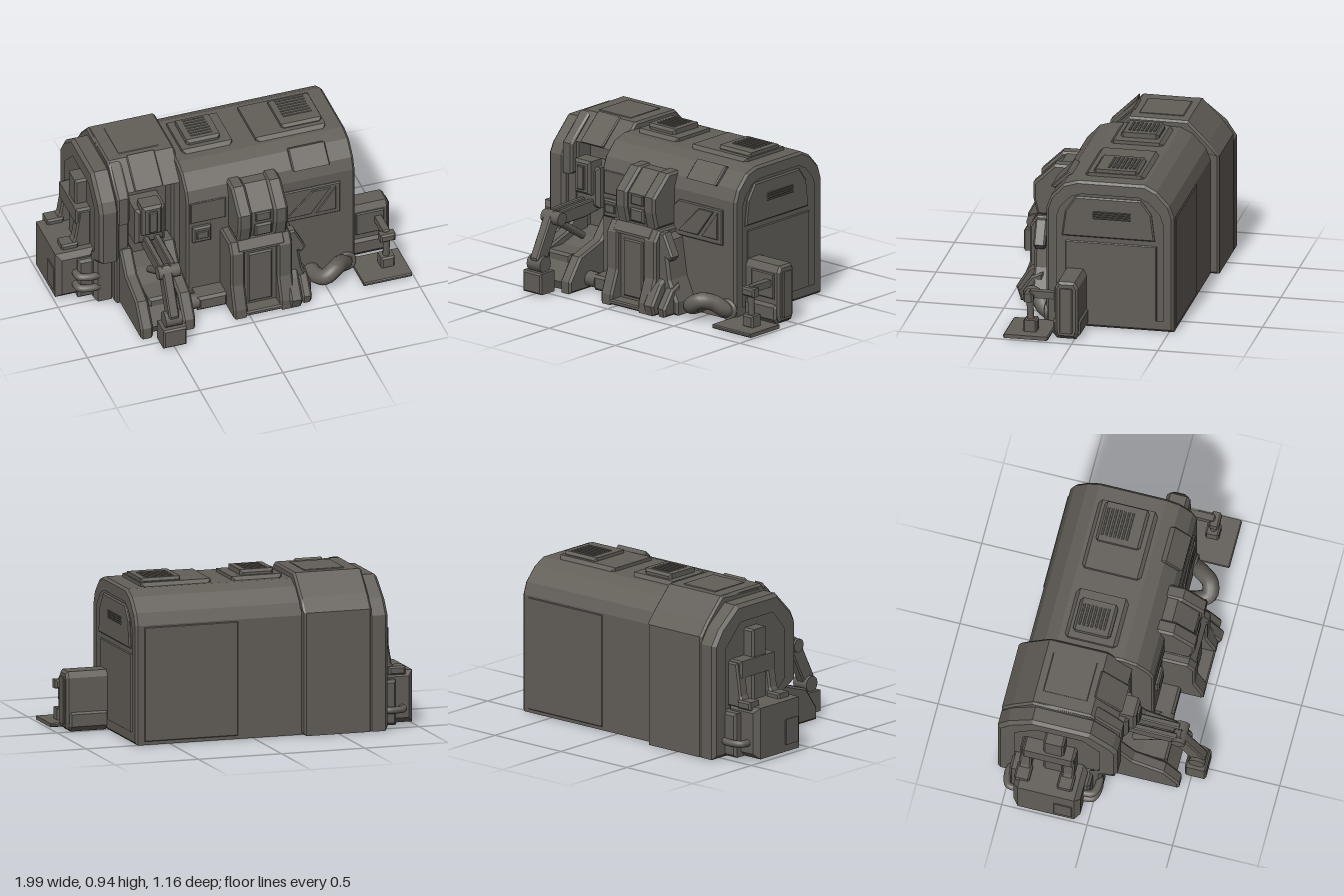
import * as THREE from 'three';

const hull = new THREE.MeshStandardMaterial({ color: 0x625e58 });
hull.name = 'dark warm grey';

export function createModel() {
  const root = new THREE.Group();
  root.name = 'outpostModule';

  const add = (name, geo) => {
    const m = new THREE.Mesh(geo, hull);
    m.name = name;
    root.add(m);
    return m;
  };
  const extrude = (pts, depth, b, hole) => {
    const s = new THREE.Shape(pts.map(p => new THREE.Vector2(...p)));
    if (hole) s.holes.push(new THREE.Path(hole.map(p => new THREE.Vector2(...p))));
    return new THREE.ExtrudeGeometry(s, {
      depth: depth - 2 * b, bevelEnabled: b > 0, bevelThickness: b, bevelSize: b, bevelOffset: -b, bevelSegments: 1,
    }).translate(0, 0, b);
  };
  // side profile of [z, y] points, swept from x0 to x1
  const sweepX = (name, pts, x0, x1, b = 0.012, hole) => {
    const flip = a => a && a.map(([z, y]) => [-z, y]);
    return add(name, extrude(flip(pts), x1 - x0, b, flip(hole)).rotateY(Math.PI / 2).translate(x0, 0, 0));
  };
  // front profile of [x, y] points, swept from z0 to z1
  const sweepZ = (name, pts, z0, z1, b = 0.01, hole) =>
    add(name, extrude(pts, z1 - z0, b, hole).translate(0, 0, z0));
  // chamfered box given by its limits
  const box = (name, x0, x1, y0, y1, z0, z1, b = 0.01) =>
    sweepZ(name, [[x0, y0], [x1, y0], [x1, y1], [x0, y1]], z0, z1, b);
  const rod = (name, a, b, r, sides = 12) => {
    const A = new THREE.Vector3(...a), B = new THREE.Vector3(...b), d = B.clone().sub(A);
    const m = add(name, new THREE.CylinderGeometry(r, r, d.length(), sides));
    m.position.copy(A).add(B).multiplyScalar(0.5);
    m.quaternion.setFromUnitVectors(new THREE.Vector3(0, 1, 0), d.normalize());
    return m;
  };
  const tube = (name, pts, r) => add(name, new THREE.TubeGeometry(
    new THREE.CatmullRomCurve3(pts.map(p => new THREE.Vector3(...p))), 32, r, 14));
  const inset = (pts, k, cz, cy) => pts.map(([z, y]) => [cz + (z - cz) * k, cy + (y - cy) * k]);

  // Main hall with its right end rim and panels
  const hall = [[0.21, 0], [0.21, 0.7], [0.185, 0.77], [0.11, 0.85], [0.03, 0.875], [-0.36, 0.875],
    [-0.43, 0.84], [-0.505, 0.76], [-0.53, 0.69], [-0.53, 0]];
  sweepX('mainHall', hall, -0.3, 0.7, 0.012);
  sweepX('rightEndRim', hall, 0.66, 0.712, 0.014, inset(hall, 0.87, -0.16, 0.4));
  sweepX('rightEndUpperPanel', [[0.12, 0.54], [0.1, 0.69], [0.04, 0.78], [-0.34, 0.78], [-0.4, 0.7], [-0.42, 0.54]], 0.69, 0.712, 0.008);
  sweepX('rightEndLowerPanel', [[0.1, 0.02], [0.1, 0.51], [-0.43, 0.51], [-0.43, 0.02]], 0.69, 0.706, 0.005);
  for (let i = 0; i < 4; i++)
    box('rightEndLouver', 0.705, 0.72, 0.655 + i * 0.013, 0.661 + i * 0.013, -0.28, -0.06, 0.002);
  box('rearSeamPanel', 0.1, 0.66, 0.02, 0.68, -0.536, -0.52, 0.004);

  // Roof vents
  const vent = (x0, x1, z0, z1, px0, px1, top) => {
    box('ventBase', x0, x1, 0.85, 0.895, z0, z1, 0.022);
    box('ventHousing', px0, px1, 0.87, top, z0 + 0.04, z1 - 0.05, 0.015);
    for (let i = 0; i < 7; i++) {
      const z = z0 + 0.065 + i * 0.024;
      box('ventSlat', px0 + 0.035, px1 - 0.035, top - 0.01, top + 0.005, z, z + 0.012, 0.002);
    }
  };
  vent(-0.24, 0.06, -0.33, -0.02, -0.2, 0.0, 0.925);
  vent(0.19, 0.61, -0.34, 0.01, 0.36, 0.6, 0.915);
  sweepX('roofHatch', [[0.19, 0.765], [0.215, 0.775], [0.12, 0.87], [0.09, 0.855]], 0.34, 0.56, 0.006);

  // Front panels of the hall
  sweepZ('sidePanel', [[0.25, 0.43], [0.62, 0.43], [0.62, 0.64], [0.29, 0.64], [0.25, 0.6]], 0.2, 0.222, 0.006);
  sweepZ('slantedWindow', [[0.29, 0.46], [0.44, 0.46], [0.56, 0.62], [0.45, 0.62]], 0.215, 0.23, 0.004);
  sweepZ('slantedWindow', [[0.47, 0.46], [0.59, 0.46], [0.59, 0.62]], 0.215, 0.23, 0.004);
  box('controlBox', -0.27, -0.16, 0.43, 0.535, 0.19, 0.235);
  box('controlScreen', -0.25, -0.18, 0.46, 0.51, 0.225, 0.243, 0.004);
  box('upperFrontPanel', -0.28, -0.07, 0.56, 0.7, 0.2, 0.217, 0.004);

  // Left section: recessed core, pillars and overhanging roof
  const back = [[-0.4, 0.912], [-0.52, 0.79], [-0.58, 0.71], [-0.58, 0]];
  sweepX('leftCore', [[-0.03, 0], [-0.03, 0.8], [-0.08, 0.9], ...back], -0.69, -0.285);
  const pillar = [[0.08, 0], [0.08, 0.77], [-0.06, 0.912], [-0.25, 0.912], [-0.25, 0]];
  sweepX('leftPillar', pillar, -0.685, -0.6);
  sweepX('leftPillar', pillar, -0.345, -0.28);
  sweepX('leftRoof', [[0.085, 0.77], [-0.06, 0.914], ...back.slice(0, 3), [-0.3, 0.75]], -0.685, -0.28);
  sweepX('roofFlap', [[0.12, 0.58], [0.12, 0.76], [-0.04, 0.915], [-0.04, 0.58]], -0.685, -0.61);
  sweepX('roofFrontPanel', [[0.075, 0.765], [0.095, 0.78], [-0.06, 0.925], [-0.08, 0.9]], -0.57, -0.4, 0.006);
  box('roofTopPanel', -0.6, -0.36, 0.9, 0.917, -0.36, -0.1, 0.005);

  // Left end collar with an inset wall
  const collar = [[0.12, 0.33], [0.12, 0.68], [0.09, 0.74], [-0.04, 0.872], [-0.38, 0.872], [-0.52, 0.76],
    [-0.58, 0.67], [-0.58, 0], [0.03, 0], [0.03, 0.28]];
  sweepX('leftEndWall', inset(collar, 0.95, -0.23, 0.42).map(([z, y]) => [z, Math.max(0, y)]), -0.765, -0.67);
  sweepX('leftEndCollar', collar, -0.79, -0.67, 0.02,
    [[0.04, 0.35], [0.04, 0.66], [-0.07, 0.79], [-0.36, 0.79], [-0.5, 0.65], [-0.5, 0.05], [-0.02, 0.05], [-0.02, 0.3]]);

  // Generator box on the left end with prongs and handles
  box('generatorBox', -0.99, -0.76, 0.01, 0.31, -0.44, -0.05, 0.03);
  box('generatorSideBox', -0.87, -0.75, 0.01, 0.27, -0.49, -0.02, 0.015);
  box('generatorPanel', -0.996, -0.98, 0.05, 0.2, -0.2, -0.09, 0.004);
  box('exhaustPlate', -0.835, -0.755, 0.28, 0.72, -0.3, -0.18, 0.012);
  for (const z of [-0.4, -0.15]) {
    sweepZ('exhaustProng', [[-0.9, 0.29], [-0.76, 0.29], [-0.76, 0.55], [-0.83, 0.55], [-0.86, 0.36]], z - 0.035, z + 0.035);
    box('prongCap', -0.94, -0.84, 0.29, 0.34, z - 0.045, z + 0.045);
  }
  box('exhaustBridge', -0.85, -0.755, 0.46, 0.56, -0.42, -0.12, 0.012);
  for (const y of [0.1, 0.18]) tube('frontHandle', [[-0.88, y, -0.06], [-0.87, y, 0], [-0.79, y, 0.02], [-0.74, y, 0]], 0.022);
  tube('rearHandle', [[-0.92, 0.1, -0.43], [-0.91, 0.1, -0.485], [-0.83, 0.1, -0.505], [-0.76, 0.1, -0.48]], 0.02);

  // Loading platform under the crane
  sweepX('platform', [[-0.1, 0], [0.4, 0], [0.42, 0.05], [0.36, 0.15], [0.1, 0.24], [-0.1, 0.26]], -0.65, -0.34);
  for (const x of [-0.66, -0.405])
    sweepX('platformSide', [[0, 0], [0.45, 0], [0.45, 0.07], [0.36, 0.2], [0.18, 0.26], [0.09, 0.38], [0, 0.38]], x, x + 0.075);
  box('platformStep', -0.58, -0.41, 0.1, 0.2, 0.2, 0.36, 0.015);
  rod('platformCoupling', [-0.35, 0.06, 0.28], [-0.26, 0.06, 0.28], 0.045);
  box('couplingBox', -0.27, -0.09, 0.01, 0.1, 0.19, 0.32, 0.015);

  // Crane
  box('craneMount', -0.58, -0.4, 0.42, 0.66, -0.05, 0.13, 0.02);
  box('craneHead', -0.55, -0.43, 0.5, 0.7, 0.05, 0.17, 0.015);
  box('craneSlot', -0.515, -0.465, 0.53, 0.67, 0.16, 0.185, 0.005);
  for (const x of [-0.535, -0.47]) {
    sweepX('craneUpperArm', [[0.06, 0.4], [0.08, 0.47], [0.4, 0.46], [0.44, 0.42], [0.42, 0.38], [0.2, 0.38]], x, x + 0.035, 0.006);
  }
  sweepX('craneForearm', [[0.37, 0.4], [0.38, 0.45], [0.42, 0.465], [0.45, 0.44], [0.57, 0.21], [0.56, 0.16], [0.49, 0.17]], -0.53, -0.47, 0.008);
  rod('craneElbow', [-0.55, 0.42, 0.415], [-0.42, 0.42, 0.415], 0.04);
  rod('craneWrist', [-0.55, 0.17, 0.525], [-0.45, 0.17, 0.525], 0.048);
  box('craneFoot', -0.57, -0.43, 0.005, 0.13, 0.46, 0.585, 0.01);
  rod('cranePiston', [-0.5, 0.25, 0.15], [-0.5, 0.38, 0.36], 0.022);

  // Entrance
  const jamb = [[0.15, 0], [0.45, 0], [0.45, 0.06], [0.4, 0.2], [0.4, 0.42], [0.36, 0.48], [0.15, 0.48]];
  sweepX('doorJamb', jamb, -0.1, -0.015);
  sweepX('doorJamb', jamb, 0.18, 0.27);
  sweepX('doorLintel', [[0.15, 0.42], [0.395, 0.42], [0.395, 0.435], [0.36, 0.485], [0.15, 0.485]], -0.06, 0.23);
  box('door', -0.03, 0.19, 0.02, 0.43, 0.2, 0.37, 0.01);
  box('doorPanel', 0.01, 0.155, 0.05, 0.39, 0.36, 0.38, 0.008);
  box('doorStep', -0.07, 0.22, 0.005, 0.035, 0.3, 0.45, 0.008);
  sweepZ('buttress', [[0.25, 0], [0.4, 0], [0.4, 0.08], [0.345, 0.2], [0.31, 0.42], [0.25, 0.46]], 0.15, 0.36, 0.015);
  sweepX('buttressFoot', [[0.3, 0], [0.45, 0], [0.47, 0.06], [0.4, 0.17], [0.3, 0.24]], 0.235, 0.31);
  sweepX('buttressFoot', [[0.3, 0], [0.43, 0], [0.44, 0.05], [0.37, 0.15], [0.3, 0.18]], 0.315, 0.375);
  sweepZ('buttressBrace', [[0.25, 0.47], [0.3, 0.47], [0.365, 0.34], [0.34, 0.31], [0.3, 0.33]], 0.29, 0.36);

  // Canopy above the door
  const canopy = [[0.15, 0.48], [0.36, 0.48], [0.385, 0.58], [0.385, 0.67], [0.26, 0.79], [0.15, 0.79]];
  for (const x of [-0.05, 0.165]) sweepX('canopyRail', canopy, x, x + 0.085, 0.014);
  sweepX('canopyCore', canopy.map(([z, y]) => [z - 0.025, y - 0.008]), 0.02, 0.18);
  box('canopyLamp', 0.055, 0.155, 0.5, 0.58, 0.3, 0.375);
  box('canopyPlate', 0.06, 0.15, 0.6, 0.66, 0.34, 0.372, 0.006);

  // Bent hose at the front
  tube('hose', [[0.44, 0.05, 0.16], [0.455, 0.055, 0.27], [0.49, 0.08, 0.335], [0.55, 0.115, 0.325],
    [0.6, 0.1, 0.27], [0.64, 0.06, 0.22], [0.66, 0.055, 0.14]], 0.048);
  const collarRing = add('hoseCollar', new THREE.TorusGeometry(0.05, 0.014, 8, 18));
  collarRing.position.set(0.655, 0.058, 0.21);

  // Cabinet on the right end
  sweepX('cabinet', [[0.095, 0.01], [0.11, 0.05], [0.11, 0.31], [0.09, 0.345], [-0.005, 0.345], [-0.025, 0.31], [-0.025, 0.05], [-0.01, 0.01]], 0.69, 0.95, 0.014);
  sweepX('cabinetBase', [[0.1, 0], [0.125, 0.03], [0.125, 0.1], [0.1, 0.13], [-0.01, 0.13], [-0.035, 0.1], [-0.035, 0.03], [-0.01, 0]], 0.7, 0.935);
  box('cabinetDoor', 0.94, 0.962, 0.04, 0.31, 0.005, 0.08, 0.006);
  box('cabinetSidePanel', 0.75, 0.92, 0.15, 0.3, 0.1, 0.12, 0.006);

  // Anchor plate with its post
  box('anchorPlate', 0.7, 0.99, 0, 0.022, 0.14, 0.4, 0.006);
  box('anchorBase', 0.84, 0.92, 0.015, 0.09, 0.22, 0.3);
  rod('anchorPost', [0.88, 0.06, 0.26], [0.88, 0.24, 0.27], 0.02);
  box('anchorHead', 0.835, 0.925, 0.2, 0.25, 0.24, 0.3);
  box('anchorArm', 0.86, 0.9, 0.22, 0.262, 0.1, 0.27, 0.008);

  return root;
}
